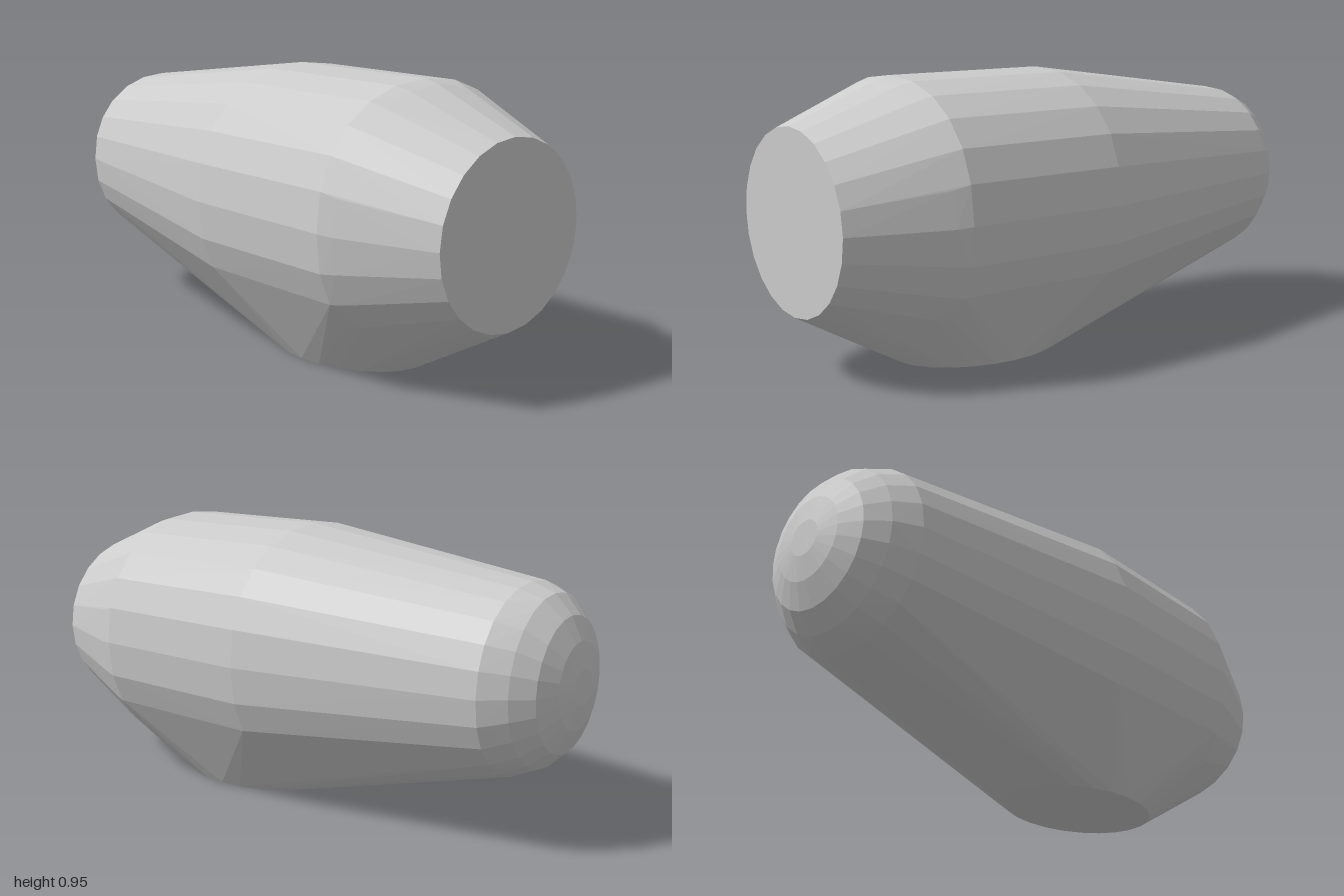
import * as THREE from 'three';
import { ConvexGeometry } from 'three/addons/geometries/ConvexGeometry.js';

// Points of a rounded upright cross-section; power 2 is an ellipse, higher is squarer.
function ring(x, cy, ry, rz, power = 2, sides = 24) {
  const points = [];
  for (let i = 0; i < sides; i++) {
    const a = (i / sides) * Math.PI * 2;
    const c = Math.cos(a), s = Math.sin(a);
    const bend = (v) => Math.sign(v) * Math.pow(Math.abs(v), 2 / power);
    points.push(new THREE.Vector3(x, cy + ry * bend(c), rz * bend(s)));
  }
  return points;
}

export function createModel() {
  const group = new THREE.Group();
  group.name = 'taperedPod';

  // Cross-sections from the rounded nose to the flat end: x, centre y, half height, half width, power
  const sections = [
    [-1, 0.535, 0.06, 0.06],
    [-0.985, 0.538, 0.142, 0.135],
    [-0.95, 0.535, 0.22, 0.21],
    [-0.89, 0.537, 0.28, 0.27],
    [-0.81, 0.533, 0.312, 0.32, 2.1],
    [0.05, 0.52, 0.432, 0.447, 2.2],
    [0.64, 0.52, 0.425, 0.447, 2.2],
    [0.69, 0.515, 0.416, 0.43, 2.1],
    [1, 0.51, 0.296, 0.307],
  ];
  const points = sections.flatMap((s) => ring(...s));

  // Oval foot on the ground, blended into the body by the hull
  for (let i = 0; i < 24; i++) {
    const a = (i / 24) * Math.PI * 2;
    points.push(new THREE.Vector3(0.31 + 0.31 * Math.cos(a), 0, 0.222 * Math.sin(a)));
  }

  const body = new THREE.Mesh(
    new ConvexGeometry(points),
    new THREE.MeshStandardMaterial({ color: 0xcccccc, flatShading: true })
  );
  body.name = 'body';
  group.add(body);
  return group;
}
